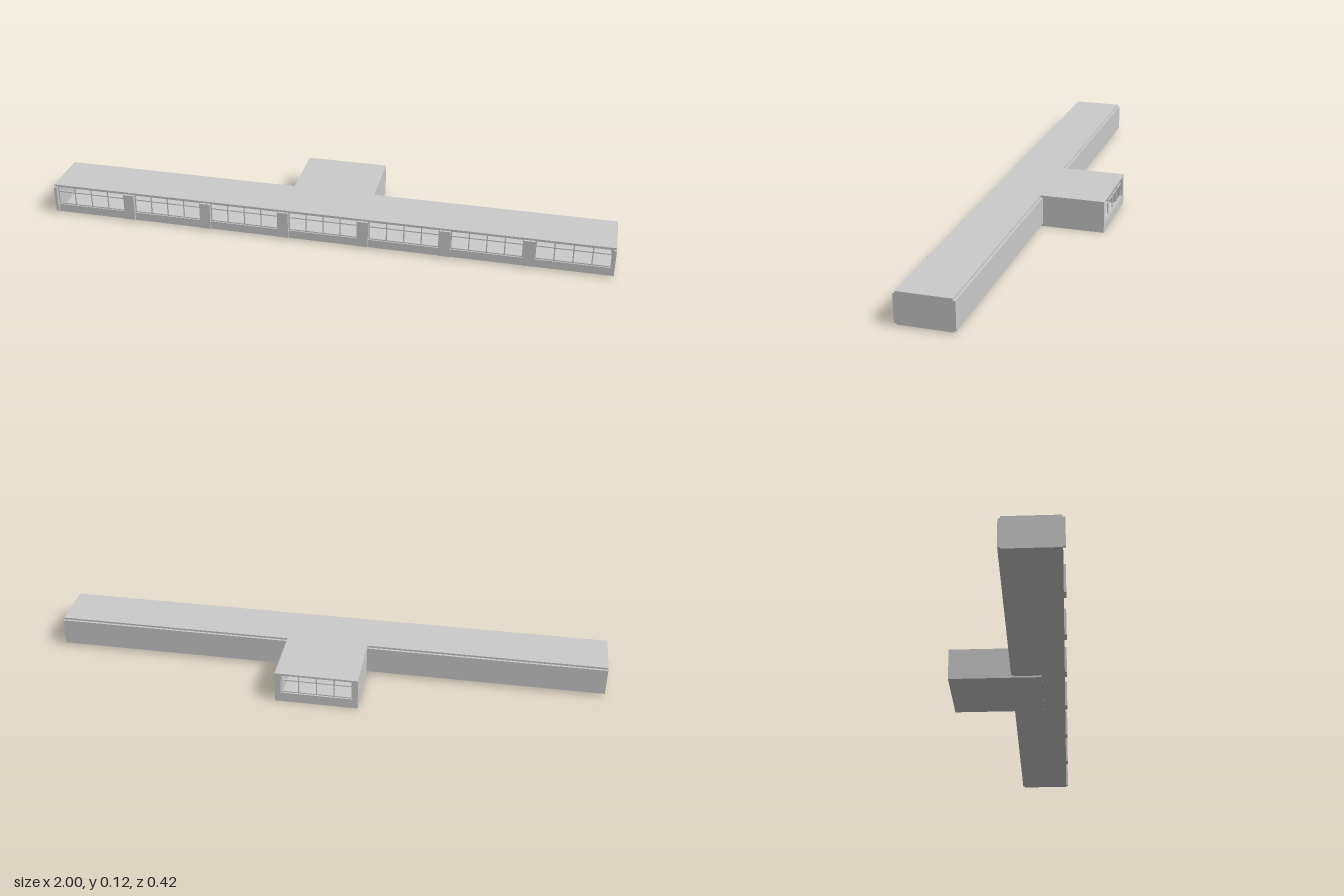
import * as THREE from 'three';

const material = new THREE.MeshStandardMaterial({ color: 0xcccccc, flatShading: true });

// Box given by its extents on each axis
function box(parent, name, [x0, x1], [y0, y1], [z0, z1]) {
  const mesh = new THREE.Mesh(new THREE.BoxGeometry(x1 - x0, y1 - y0, z1 - z0), material);
  mesh.name = name;
  mesh.position.set((x0 + x1) / 2, (y0 + y1) / 2, (z0 + z1) / 2);
  parent.add(mesh);
  return mesh;
}

// Unglazed window grid: four panes across with one transom
function windowGrid(parent, name, x0, x1, z) {
  const group = new THREE.Group();
  group.name = name;
  const t = 0.002, depth = [z - t, z + t];
  for (let i = 0; i <= 4; i++) {
    const x = THREE.MathUtils.lerp(x0 + t, x1 - t, i / 4);
    box(group, 'mullion', [x - t, x + t], [SILL, CEILING], depth);
  }
  for (const y of [SILL + t, 0.086, CEILING - t]) {
    box(group, 'transom', [x0, x1], [y - t, y + t], [z - t * 0.9, z + t * 0.9]);
  }
  parent.add(group);
}

const BAYS = 7, PITCH = 2 / BAYS, HALF_PILLAR = 0.019;
const FLOOR = 0.01, SILL = 0.036, CEILING = 0.108, TOP = 0.115;

export function createModel() {
  const model = new THREE.Group();
  model.name = 'pavilion';

  // Long wing: floor, roof and front parapet
  const wing = new THREE.Group();
  wing.name = 'longWing';
  model.add(wing);
  box(wing, 'wingFloor', [-1, 1], [0.006, FLOOR], [0.02, 0.2]);
  box(wing, 'wingRoof', [-1, 1], [CEILING, TOP], [0.02, 0.2]);
  box(wing, 'frontParapet', [-0.99, 0.99], [FLOOR, SILL], [0.19, 0.2]);

  // End walls and the back wall, open where the rear block joins
  for (const s of [-1, 1]) {
    const span = (a, b) => (s > 0 ? [a, b] : [-b, -a]);
    box(wing, 'endWall', span(0.99, 1), [FLOOR, CEILING], [0.012, 0.208]);
    box(wing, 'backWall', span(0.145, 0.99), [FLOOR, CEILING], [0.012, 0.022]);
  }

  // Pillars between the bays, standing proud of the parapet
  for (let i = 1; i < BAYS; i++) {
    const x = -1 + i * PITCH;
    box(wing, 'pillar', [x - HALF_PILLAR, x + HALF_PILLAR], [FLOOR, CEILING], [0.188, 0.208]);
  }

  // One window per bay
  for (let i = 0; i < BAYS; i++) {
    const left = i === 0 ? -0.99 : -1 + i * PITCH + HALF_PILLAR;
    const right = i === BAYS - 1 ? 0.99 : -1 + (i + 1) * PITCH - HALF_PILLAR;
    windowGrid(wing, 'frontWindow', left, right, 0.194);
  }

  // Rear block: a hollow room reaching back from the wing
  const block = new THREE.Group();
  block.name = 'rearBlock';
  model.add(block);
  const W = 0.147, INNER = 0.128, BACK = -0.21;
  box(block, 'blockFloor', [-W, W], [0, 0.006], [BACK, 0.12]);
  box(block, 'blockRoof', [-W, W], [CEILING, TOP], [BACK, 0.02]);
  box(block, 'blockWallRight', [-W, -INNER], [0.006, CEILING], [BACK, 0.02]);
  box(block, 'blockWallLeft', [INNER, W], [0.006, CEILING], [BACK, 0.02]);
  box(block, 'backParapet', [-INNER, INNER], [0.006, SILL], [BACK, BACK + 0.01]);
  windowGrid(block, 'backWindow', -INNER, INNER, BACK + 0.007);

  return model;
}
